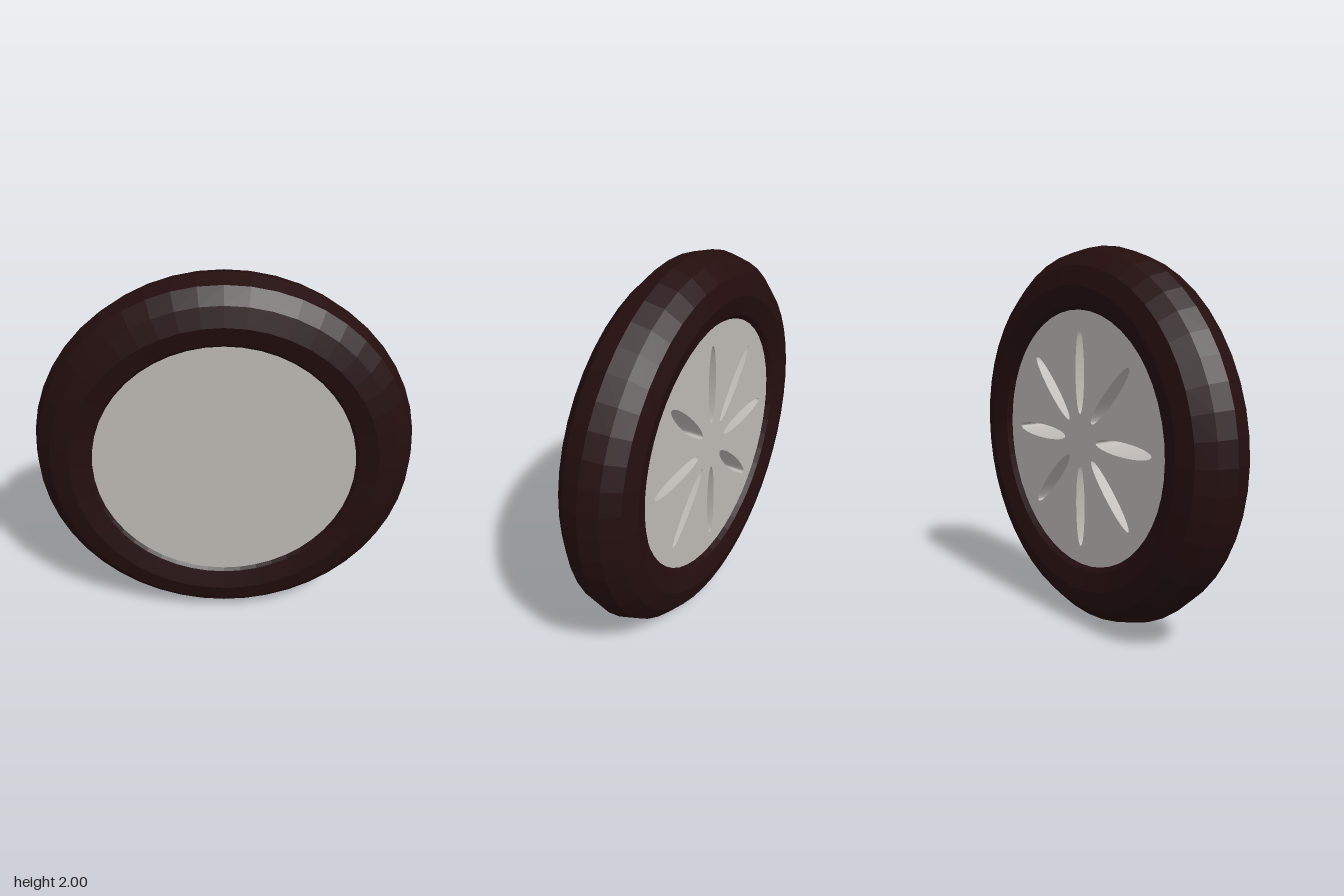
import * as THREE from 'three';
import { toCreasedNormals } from 'three/addons/utils/BufferGeometryUtils.js';

const HUB_RADIUS = 0.695;
const FRONT_Z = 0.158, FLOOR_Z = 0.06, BACK_Z = -0.15;

// Ellipse-shaped slot pointing outward from the hub centre
function slotPath(angle) {
  const path = new THREE.Path();
  path.absellipse(0.357 * Math.cos(angle), 0.357 * Math.sin(angle), 0.22, 0.038, 0, Math.PI * 2, false, angle);
  return path;
}

export function createModel() {
  const rubber = new THREE.MeshStandardMaterial({ color: 0x240e0e });
  rubber.name = 'dark rubber';
  rubber.flatShading = true;
  const metal = new THREE.MeshStandardMaterial({ color: 0xbfbab5 });
  metal.name = 'pale metal';

  const wheel = new THREE.Group();
  wheel.name = 'wheel';
  wheel.position.y = 1;

  const add = (geometry, material, name) => {
    const mesh = new THREE.Mesh(geometry, material);
    mesh.name = name;
    wheel.add(mesh);
    return mesh;
  };

  // Tyre: twelve-sided tube around the z axis
  add(new THREE.TorusGeometry(0.8, 0.2, 12, 48), rubber, 'tyre');

  // Solid front half of the hub, whose back forms the slot floors
  const plate = new THREE.CylinderGeometry(HUB_RADIUS, HUB_RADIUS, FRONT_Z - FLOOR_Z, 64);
  plate.rotateX(Math.PI / 2);
  add(plate, metal, 'hubFrontPlate').position.z = (FRONT_Z + FLOOR_Z) / 2;

  // Rear half of the hub with eight radial slots
  const disc = new THREE.Shape();
  disc.absarc(0, 0, HUB_RADIUS, 0, Math.PI * 2, false);
  for (let i = 0; i < 8; i++) disc.holes.push(slotPath(i * Math.PI / 4));
  const slotted = new THREE.ExtrudeGeometry(disc, {
    depth: FLOOR_Z - BACK_Z, bevelEnabled: false, curveSegments: 32,
  });
  add(toCreasedNormals(slotted, Math.PI / 5), metal, 'hubSlottedBack').position.z = BACK_Z;

  const model = new THREE.Group();
  model.name = 'wheelModel';
  model.add(wheel);
  return model;
}
